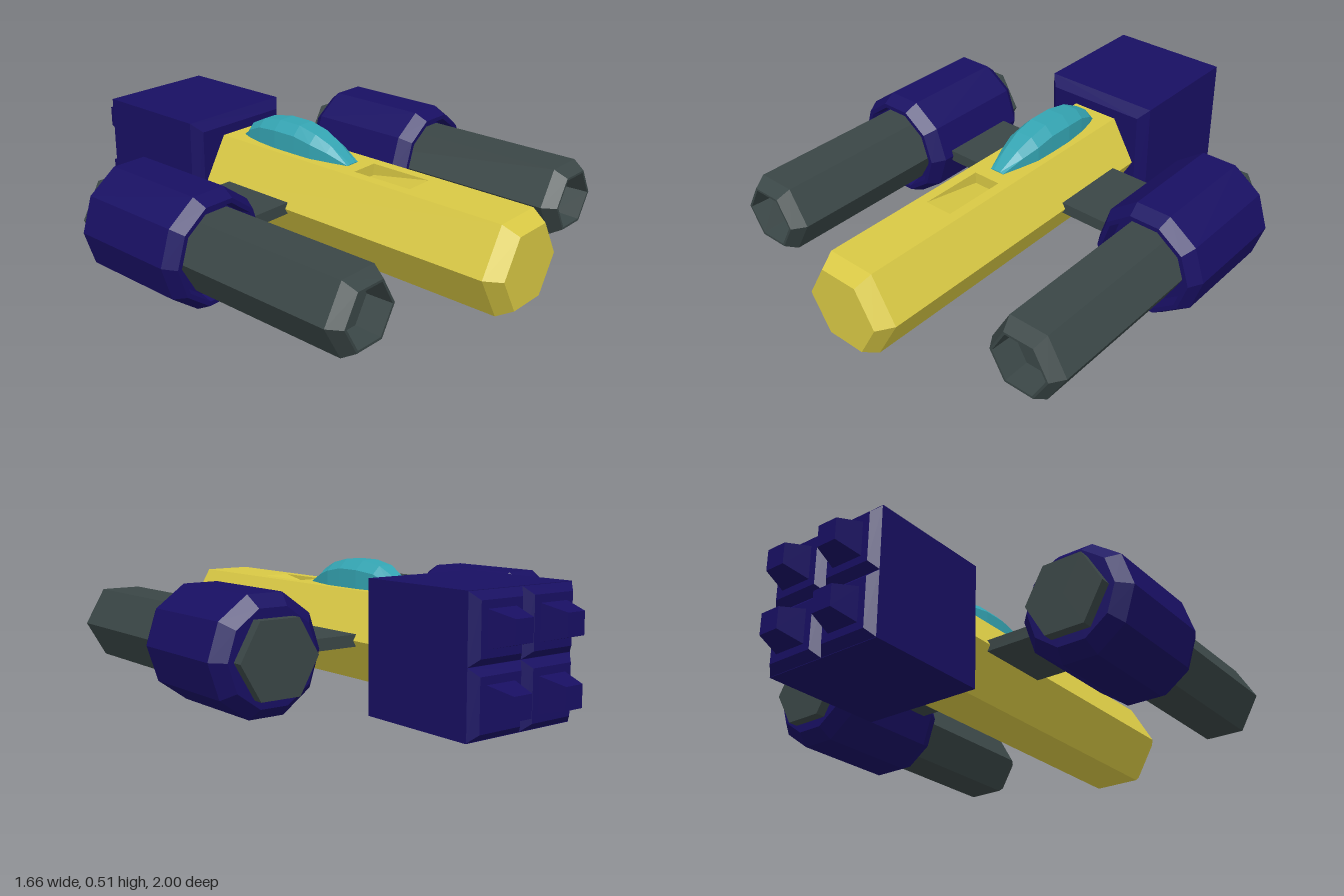
import * as THREE from 'three';

const AXIS_Y = 0.2425;
const material = (color, extra = {}) => new THREE.MeshStandardMaterial({ color, flatShading: true, ...extra });
const yellow = material(0xd8c844, { side: THREE.DoubleSide });
const navy = material(0x180f62);
const grey = material(0x3a4646);
const teal = material(0x34a4b2);

// Prism along z from [radius, z] pairs, listed from back to front
function prism(profile, sides, start = Math.PI / 2, length = Math.PI * 2) {
  const points = profile.map(([r, z]) => new THREE.Vector2(r, z));
  return new THREE.LatheGeometry(points, sides, start, length).rotateX(Math.PI / 2).toNonIndexed();
}

// Square-section prism from [half width, z] pairs
const squarePrism = (profile) => prism(profile.map(([h, z]) => [h * Math.SQRT2, z]), 4, Math.PI / 4);

// Flat polygons, corners counter-clockwise seen from outside
function faces(polygons) {
  const positions = [];
  for (const p of polygons) {
    for (let i = 1; i < p.length - 1; i++) positions.push(...p[0], ...p[i], ...p[i + 1]);
  }
  const geometry = new THREE.BufferGeometry();
  geometry.setAttribute('position', new THREE.Float32BufferAttribute(positions, 3));
  geometry.computeVertexNormals();
  return geometry;
}

function add(parent, name, geometry, mat, x = 0, y = 0, z = 0) {
  const mesh = new THREE.Mesh(geometry, mat);
  mesh.name = name;
  mesh.position.set(x, y, z);
  parent.add(mesh);
  return mesh;
}

// Hexagonal hull: five sides turned, the top side built around a sloping hatch
function createHull() {
  const hull = new THREE.Group();
  hull.name = 'hull';
  const R = 0.193, r = 0.155, back = -0.38, shoulder = 0.94, nose = 1;
  add(hull, 'hullSides', prism([[0, back], [R, back], [R, shoulder], [r, nose], [0, nose]], 5,
    Math.PI * 7 / 6, Math.PI * 5 / 3), yellow);

  const top = R * Math.sqrt(3) / 2, low = r * Math.sqrt(3) / 2;
  const w = R / 2, v = r / 2, hw = 0.056, h0 = 0.29, h1 = 0.54, floor = top - 0.045;
  const flat = (x0, x1, z0, z1) => [[x0, top, z0], [x0, top, z1], [x1, top, z1], [x1, top, z0]];
  add(hull, 'hullTop', faces([
    flat(-w, w, back, h0), flat(-w, w, h1, shoulder),
    flat(-w, -hw, h0, h1), flat(hw, w, h0, h1),
    [[-w, top, shoulder], [-v, low, nose], [v, low, nose], [w, top, shoulder]],
    [[0, 0, nose], [v, low, nose], [-v, low, nose]],
    [[0, 0, back], [-w, top, back], [w, top, back]],
  ]), yellow);
  add(hull, 'hatch', faces([
    [[-hw, floor, h0], [-hw, top, h1], [hw, top, h1], [hw, floor, h0]],
    [[-hw, top, h0], [-hw, floor, h0], [hw, floor, h0], [hw, top, h0]],
    [[-hw, top, h0], [-hw, top, h1], [-hw, floor, h0]],
    [[hw, top, h0], [hw, floor, h0], [hw, top, h1]],
  ]), yellow);
  return hull;
}

// Faceted canopy lofted through [z, half width, shoulder height, top height]
function createCanopy() {
  const base = 0.4;
  const rings = [
    [-0.3, 0.03, 0.41, 0.415], [-0.26, 0.045, 0.44, 0.465], [-0.19, 0.06, 0.47, 0.5],
    [-0.1, 0.07, 0.48, 0.515], [0.0, 0.07, 0.48, 0.515], [0.08, 0.068, 0.465, 0.497],
    [0.15, 0.052, 0.445, 0.467], [0.235, 0.03, 0.41, 0.413],
  ].map(([z, w, s, t]) => [[w, base, z], [w, s, z], [w / 2, t, z], [-w / 2, t, z], [-w, s, z], [-w, base, z]]);
  const polygons = [[...rings[0]].reverse(), rings[rings.length - 1]];
  for (let i = 0; i < rings.length - 1; i++) {
    const a = rings[i], b = rings[i + 1];
    for (let k = 0; k < 5; k++) polygons.push([a[k], a[k + 1], b[k + 1], b[k]]);
  }
  return faces(polygons);
}

// Square engine block with four padded exhausts
function createEngine() {
  const engine = new THREE.Group();
  engine.name = 'engine';
  add(engine, 'engineBlock', squarePrism([[0, -0.875], [0.2415, -0.875], [0.2415, -0.39], [0.205, -0.355], [0, -0.355]]), navy);
  for (const x of [-0.12, 0.12]) {
    for (const y of [-0.12, 0.12]) {
      add(engine, 'exhaustPad', squarePrism([[0, -0.905], [0.092, -0.905], [0.1205, -0.874], [0, -0.874]]), navy, x, y);
      add(engine, 'exhaust', squarePrism([[0, -1], [0.04, -1], [0.065, -0.9], [0, -0.9]]), navy, x, y);
    }
  }
  return engine;
}

// Side pod: hollow-muzzled cannon through a ten-sided housing, on a thin strut
function createPod(side) {
  const pod = new THREE.Group();
  pod.name = side > 0 ? 'leftPod' : 'rightPod';
  const x = side * 0.61;
  add(pod, 'cannon', prism([[0, -0.395], [0.153, -0.395], [0.153, 0.77], [0.12, 0.82], [0.11, 0.82], [0.105, 0.72], [0, 0.72]], 6), grey, x);
  add(pod, 'housing', prism([[0, -0.355], [0.175, -0.355], [0.22, -0.305], [0.22, 0.115], [0.192, 0.168], [0.175, 0.168], [0.165, 0.12], [0, 0.12]], 10), navy, x);
  add(pod, 'strut', new THREE.BoxGeometry(0.3, 0.045, 0.315), grey, side * 0.3, 0, -0.085);
  return pod;
}

export function createModel() {
  const model = new THREE.Group();
  model.name = 'starfighter';
  const parts = [createHull(), createEngine(), createPod(1), createPod(-1)];
  for (const part of parts) {
    part.position.y = AXIS_Y;
    model.add(part);
  }
  add(model, 'canopy', createCanopy(), teal);
  return model;
}
